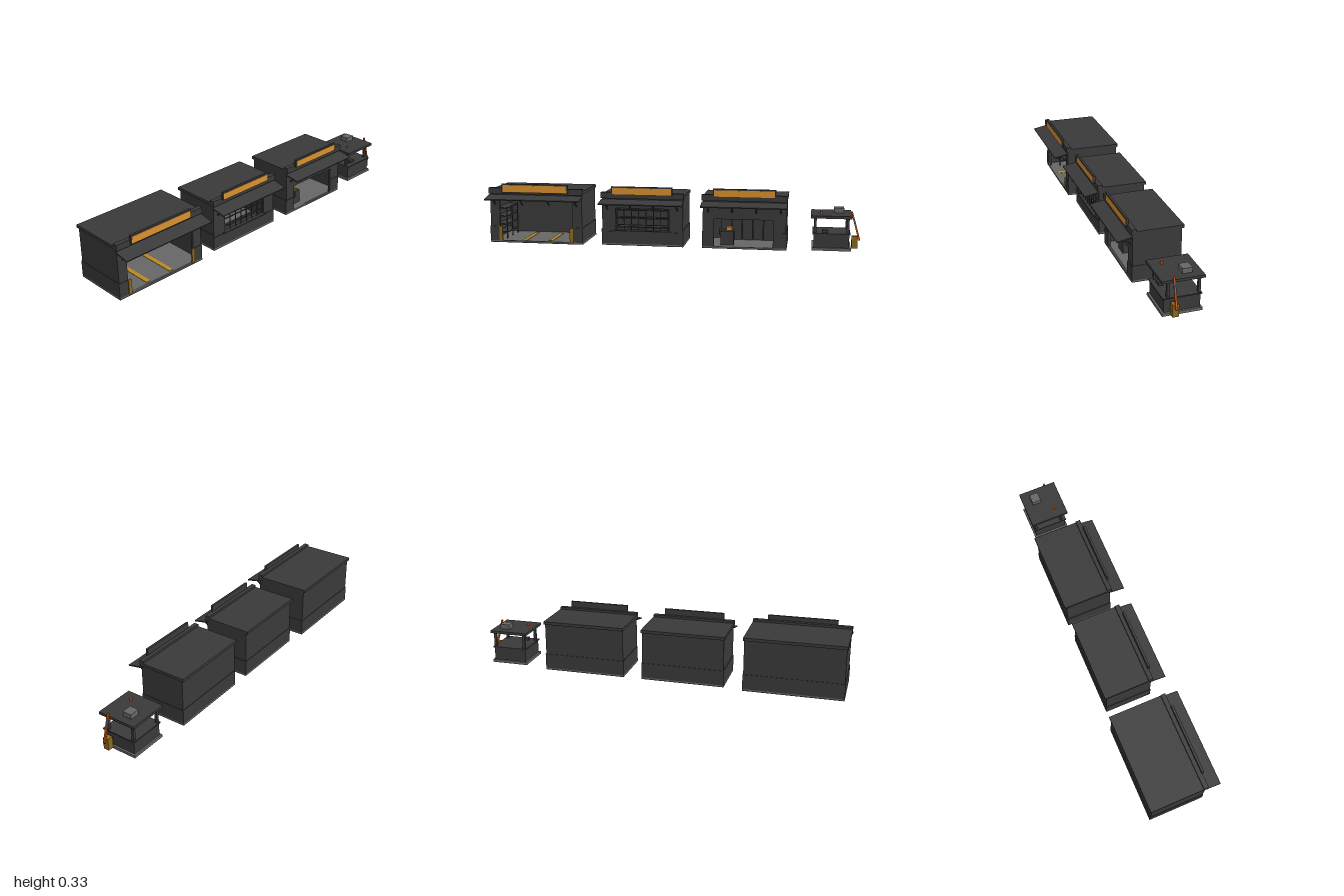
import * as THREE from 'three';

const mat = (name, color) => Object.assign(new THREE.MeshStandardMaterial({ color }), { name });

export function createModel() {
  const dark = mat('dark cladding', 0x3a3a3a);
  const grey = mat('concrete grey', 0x666666);
  const amber = mat('sign amber', 0xd8902e);
  const hazard = mat('hazard yellow', 0x8a6a1e);
  const paint = mat('floor paint yellow', 0xb98a24);
  const orange = mat('barrier orange', 0xd9520f);

  // Box given by its limits on each axis
  function box(parent, name, m, x0, x1, y0, y1, z0, z1) {
    const mesh = new THREE.Mesh(new THREE.BoxGeometry(x1 - x0, y1 - y0, z1 - z0), m);
    mesh.position.set((x0 + x1) / 2, (y0 + y1) / 2, (z0 + z1) / 2);
    mesh.name = name;
    parent.add(mesh);
    return mesh;
  }

  // Bar sloping in the z-y plane from (za, ya) to (zb, yb)
  function slope(parent, name, m, x, w, za, ya, zb, yb, t) {
    const mesh = new THREE.Mesh(new THREE.BoxGeometry(w, t, Math.hypot(zb - za, yb - ya)), m);
    mesh.position.set(x, (ya + yb) / 2, (za + zb) / 2);
    mesh.rotation.x = -Math.atan2(yb - ya, zb - za);
    mesh.name = name;
    parent.add(mesh);
  }

  // Shell shared by the three buildings: o = opening limits [x0, x1, y0, y1]
  function building(name, cx, hw, back, front, top, o, signW, signY, signZ) {
    const g = new THREE.Group();
    g.name = name;
    g.position.x = cx;
    const w = hw - 0.005, t = 0.012, d = 0.003;
    box(g, 'foundation', dark, -hw + 0.002, hw - 0.002, 0, 0.004, back, front);
    box(g, 'floorSlab', grey, -hw + 0.002, hw - 0.002, 0.004, 0.01, back, front);
    // Front wall with its opening
    const s = new THREE.Shape();
    s.moveTo(-w, 0.01).lineTo(w, 0.01).lineTo(w, top).lineTo(-w, top).closePath();
    const h = new THREE.Path();
    h.moveTo(o[0], o[2]).lineTo(o[0], o[3]).lineTo(o[1], o[3]).lineTo(o[1], o[2]).closePath();
    s.holes.push(h);
    const wall = new THREE.Mesh(new THREE.ExtrudeGeometry(s, { depth: t, bevelEnabled: false }), dark);
    wall.position.z = front - t - d;
    wall.name = 'frontWall';
    g.add(wall);
    box(g, 'backWall', dark, -w, w, 0.01, top, back + d, back + d + t);
    for (const k of [-1, 1]) {
      const a = k * w, b = k * (w - t), c = k * (w + d);
      box(g, 'sideWall', dark, Math.min(a, b), Math.max(a, b), 0.01, top, back + d, front - d);
      box(g, 'sidePlinth', dark, Math.min(a, c), Math.max(a, c), 0.01, 0.09, back, front);
    }
    // Plinth band along back and front
    box(g, 'backPlinth', dark, -w, w, 0.01, 0.09, back, back + d);
    if (o[2] > 0.05) box(g, 'frontPlinth', dark, -w, w, 0.01, o[2] - 0.005, front - d, front);
    else {
      box(g, 'frontPlinth', dark, -w, o[0], 0.01, 0.09, front - d, front);
      box(g, 'frontPlinth', dark, o[1], w, 0.01, 0.09, front - d, front);
    }
    // Roof, parapet and sign
    box(g, 'roof', dark, -hw, hw, top, top + 0.016, back - 0.007, front + 0.002);
    box(g, 'parapet', dark, -hw, hw, top - 0.004, top + 0.028, front - 0.02, front + 0.005);
    const sw = signW / 2, [sy0, sy1] = signY;
    box(g, 'signFrame', dark, -sw, sw, sy0, sy1, signZ - 0.012, signZ);
    box(g, 'signFace', amber, -sw + 0.006, sw - 0.006, sy0 + 0.002, sy1 - 0.007, signZ, signZ + 0.002);
    // Sloping awning with four braces
    const ay = top - 0.012, out = front + 0.077;
    slope(g, 'awning', dark, 0, 2 * hw, front - 0.005, ay, out, ay - 0.016, 0.006);
    for (let i = 0; i < 4; i++) {
      const x = (i / 3 - 0.5) * 2 * (hw - 0.035);
      slope(g, 'awningBrace', dark, x, 0.007, front - 0.004, ay - 0.052, front + 0.048, ay - 0.012, 0.006);
    }
    return g;
  }

  const model = new THREE.Group();
  model.name = 'roadsideServiceRow';

  // Garage
  const garage = building('garage', -0.7375, 0.2625, -0.186, 0.114, 0.274,
    [-0.205, 0.205, 0.01, 0.233], 0.37, [0.279, 0.326], 0.127);
  for (const k of [-1, 1]) {
    box(garage, 'floorStripe', paint, k * 0.073 - 0.012, k * 0.073 + 0.012, 0.01, 0.012, -0.13, 0.092);
    box(garage, 'hazardPlate', hazard, k * 0.199 - 0.009, k * 0.199 + 0.009, 0.01, 0.09, 0.111, 0.119);
  }
  for (let i = 0; i < 4; i++) box(garage, 'shelf', dark, -0.245, -0.185, 0.04 + i * 0.045, 0.046 + i * 0.045, -0.13, 0.05);
  for (const z of [-0.13, -0.04, 0.045]) box(garage, 'shelfPost', dark, -0.19, -0.185, 0.01, 0.185, z, z + 0.005);
  model.add(garage);

  // Shop with a barred window
  const shop = building('shop', -0.152, 0.225, -0.166, 0.093, 0.26,
    [-0.145, 0.145, 0.08, 0.203], 0.33, [0.277, 0.321], 0.105);
  box(shop, 'windowSill', dark, -0.155, 0.155, 0.074, 0.081, 0.08, 0.1);
  for (let i = 0; i < 8; i++) {
    const x = -0.14 + i * 0.04;
    box(shop, 'windowBar', dark, x - 0.002, x + 0.002, 0.08, 0.203, 0.083, 0.087);
  }
  for (const y of [0.11, 0.15, 0.19]) box(shop, 'windowRail', dark, -0.145, 0.145, y, y + 0.004, 0.082, 0.088);
  box(shop, 'counter', dark, -0.14, 0.14, 0.01, 0.075, 0.02, 0.05);
  for (const y of [0.06, 0.11, 0.16]) box(shop, 'stockShelf', dark, -0.18, 0.18, y, y + 0.006, -0.15, -0.11);
  model.add(shop);

  // Store with lockers along the back
  const store = building('store', 0.395, 0.225, -0.166, 0.093, 0.26,
    [-0.16, 0.152, 0.01, 0.158], 0.33, [0.277, 0.321], 0.105);
  for (let i = 0; i < 5; i++) {
    const x = -0.14 + i * 0.058;
    box(store, 'locker', dark, x, x + 0.055, 0.01, 0.18, -0.15, -0.115);
  }
  box(store, 'workbench', dark, -0.13, -0.06, 0.01, 0.085, -0.01, 0.045);
  box(store, 'toolCase', amber, -0.1, -0.07, 0.085, 0.105, -0.005, 0.02);
  box(store, 'doorHandle', grey, -0.133, -0.129, 0.07, 0.11, 0.07, 0.075);
  model.add(store);

  // Ticket booth
  const booth = new THREE.Group();
  booth.name = 'booth';
  box(booth, 'boothBase', grey, 0.748, 0.952, 0, 0.015, -0.136, 0.063);
  box(booth, 'boothWall', dark, 0.758, 0.942, 0.015, 0.085, 0.041, 0.053);
  box(booth, 'boothWall', dark, 0.758, 0.942, 0.015, 0.085, -0.127, -0.115);
  box(booth, 'boothWall', dark, 0.758, 0.77, 0.015, 0.085, -0.115, 0.041);
  box(booth, 'boothWall', dark, 0.93, 0.942, 0.015, 0.085, -0.115, 0.041);
  box(booth, 'boothCounter', dark, 0.752, 0.948, 0.085, 0.091, -0.133, 0.06);
  for (const x of [0.758, 0.928]) for (const z of [-0.127, 0.026]) {
    box(booth, 'boothPost', dark, x, x + 0.014, 0.091, 0.172, z, z + 0.013);
  }
  box(booth, 'boothRoof', dark, 0.742, 0.955, 0.172, 0.186, -0.143, 0.07);
  box(booth, 'roofUnit', grey, 0.862, 0.915, 0.186, 0.212, -0.095, -0.045);
  box(booth, 'cashBox', dark, 0.8, 0.832, 0.091, 0.106, 0.015, 0.037);
  const beacon = new THREE.Mesh(new THREE.CylinderGeometry(0.006, 0.007, 0.015, 12), orange);
  beacon.position.set(0.795, 0.193, 0.011);
  beacon.name = 'beacon';
  booth.add(beacon);
  model.add(booth);

  // Raised barrier: striped arm leaning from its post
  const barrier = new THREE.Group();
  barrier.name = 'barrier';
  box(barrier, 'barrierPost', hazard, 0.955, 0.987, 0.01, 0.074, -0.005, 0.026);
  const arm = new THREE.Group();
  arm.name = 'barrierArm';
  arm.position.set(0.995, 0.055, 0.011);
  arm.rotation.z = Math.atan2(0.041, 0.146);
  box(arm, 'armEnd', dark, -0.004, 0.004, -0.005, 0, -0.004, 0.004);
  box(arm, 'armLower', orange, -0.0045, 0.0045, 0, 0.086, -0.0045, 0.0045);
  box(arm, 'armBand', grey, -0.0045, 0.0045, 0.086, 0.119, -0.0045, 0.0045);
  box(arm, 'armTip', orange, -0.0045, 0.0045, 0.119, 0.153, -0.0045, 0.0045);
  barrier.add(arm);
  model.add(barrier);

  return model;
}
